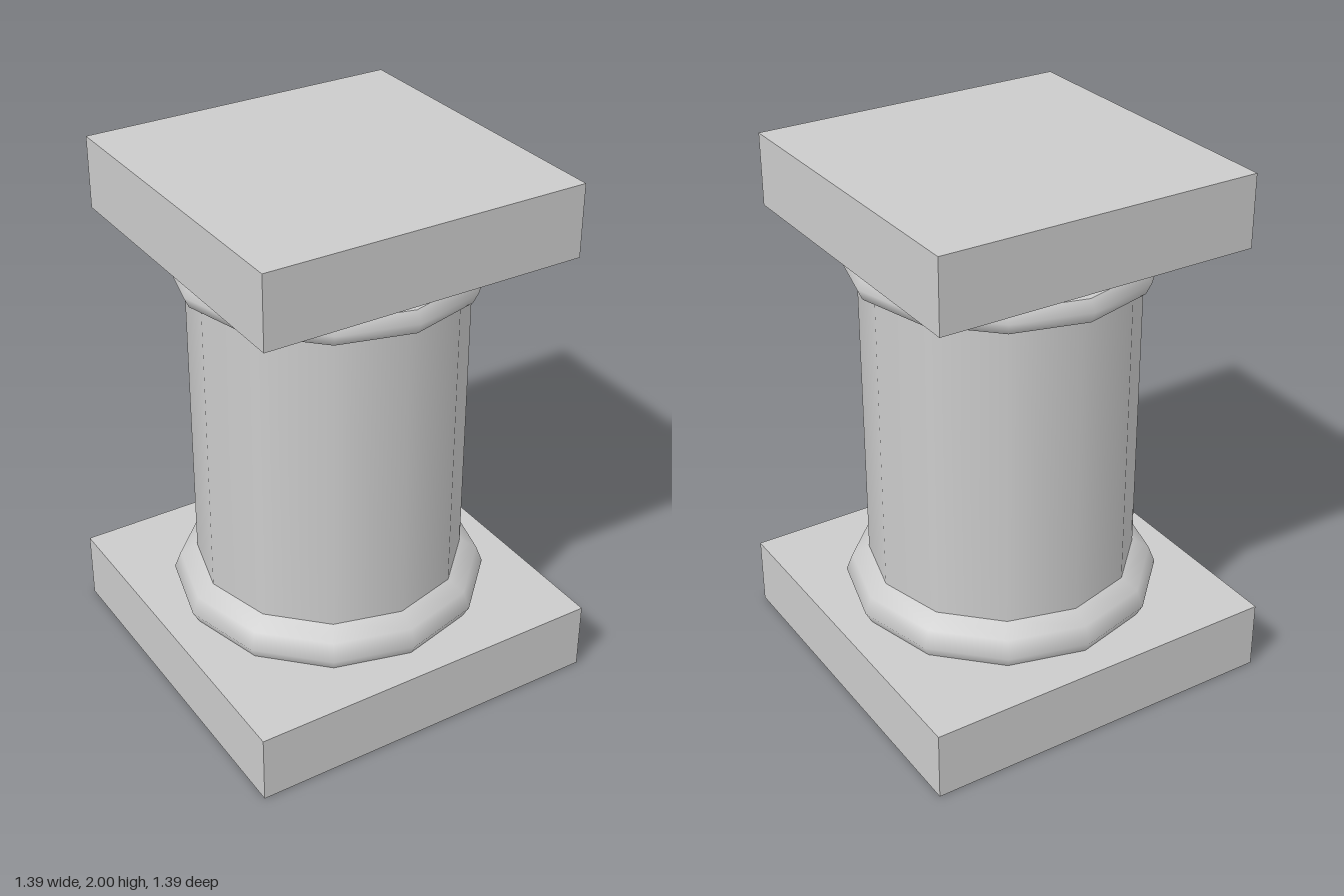
import * as THREE from 'three';

const SIDES = 12;

export function createModel() {
  const model = new THREE.Group();
  const material = new THREE.MeshStandardMaterial({ color: 0xcccccc, side: THREE.DoubleSide });

  const add = (name, geometry, y = 0) => {
    const mesh = new THREE.Mesh(geometry, material);
    mesh.name = name;
    mesh.position.y = y;
    model.add(mesh);
  };

  // Smooth twelve-sided turned part from [radius, height] pairs, bottom to top
  const turned = (name, profile) =>
    add(name, new THREE.LatheGeometry(profile.map(([r, y]) => new THREE.Vector2(r, y)), SIDES));

  // Square base slab, hollow and open underneath
  const base = new THREE.BoxGeometry(1.39, 0.265, 1.39);
  const faces = Array.from(base.index.array);
  faces.splice(18, 6); // drop the bottom face
  base.setIndex(faces);
  base.clearGroups();
  add('basePlinth', base, 0.1325);

  // Rounded ring at the foot of the column
  turned('baseRing', [[0.57, 0.265], [0.595, 0.31], [0.57, 0.375], [0.505, 0.413]]);

  // Plain column shaft
  turned('shaft', [[0.505, 0.413], [0.505, 1.57]]);

  // Rounded ring under the capital
  turned('capitalRing', [[0.505, 1.57], [0.55, 1.592], [0.57, 1.635], [0.543, 1.675]]);

  // Flat ledge on top of the ring, then the short neck
  turned('ringLedge', [[0.543, 1.675], [0.515, 1.675]]);
  turned('neck', [[0.515, 1.675], [0.515, 1.73]]);

  // Square capital slab
  add('capitalSlab', new THREE.BoxGeometry(1.22, 0.27, 1.22), 1.865);

  return model;
}
